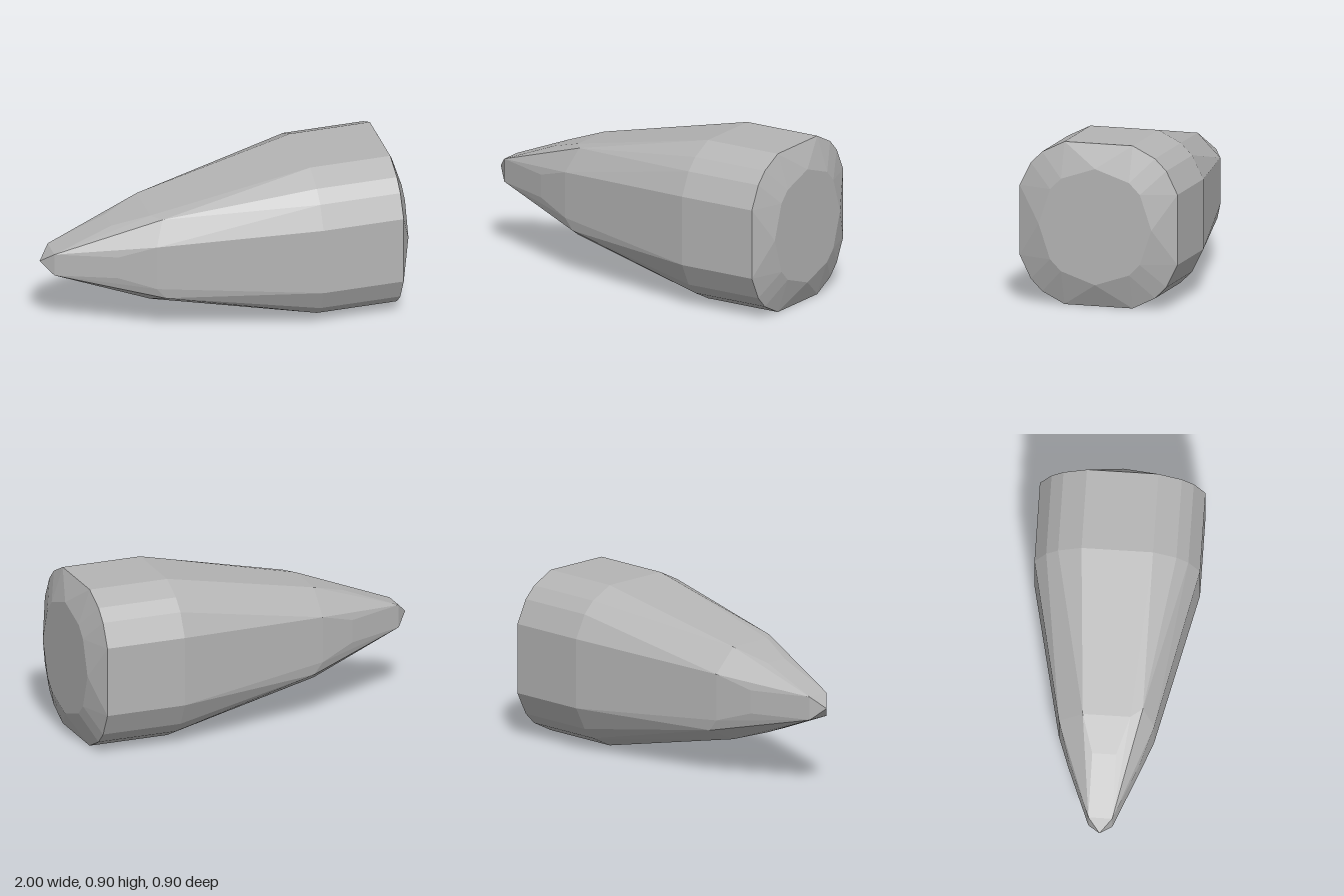
import * as THREE from 'three';
import { ConvexGeometry } from 'three/addons/geometries/ConvexGeometry.js';

export function createModel() {
  const group = new THREE.Group();
  group.name = 'bulletShape';
  const grey = new THREE.MeshStandardMaterial({ color: 0xb4b4b4 });
  grey.name = 'plain grey';

  // Cross-sections along x: corner offsets [a, b], mirrored into all octants
  const sections = [
    [-0.935, [[0.065, 0.065]]],                    // blunt nose
    [-0.61, [[0.195, 0.065], [0.13, 0.13]]],       // nose taper
    [-0.41, [[0.26, 0.13], [0.195, 0.195]]],       // shoulder
    [0.48, [[0.452, 0.195], [0.388, 0.323]]],      // start of straight body
    [0.935, [[0.452, 0.195], [0.388, 0.323]]],     // end of straight body
    [1, [[0.323, 0], [0.257, 0.195]]],             // bevelled rear face
  ];

  const points = [new THREE.Vector3(-1, 0, 0)]; // tip
  for (const [x, corners] of sections) {
    const seen = new Set();
    for (const [a, b] of corners)
      for (const [p, q] of [[a, b], [b, a]])
        for (const sy of [1, -1])
          for (const sz of [1, -1]) {
            const y = p === 0 ? 0 : p * sy, z = q === 0 ? 0 : q * sz;
            const key = y + ',' + z;
            if (seen.has(key)) continue;
            seen.add(key);
            points.push(new THREE.Vector3(x, y, z));
          }
  }
  // Small extra corners on the shoulder
  points.push(
    new THREE.Vector3(-0.36, -0.195, 0.26),
    new THREE.Vector3(-0.36, -0.195, -0.26),
    new THREE.Vector3(-0.36, 0.26, 0.195),
  );

  const body = new THREE.Mesh(new ConvexGeometry(points), grey);
  body.name = 'facetedBody';
  body.position.y = 0.452;
  group.add(body);
  return group;
}
